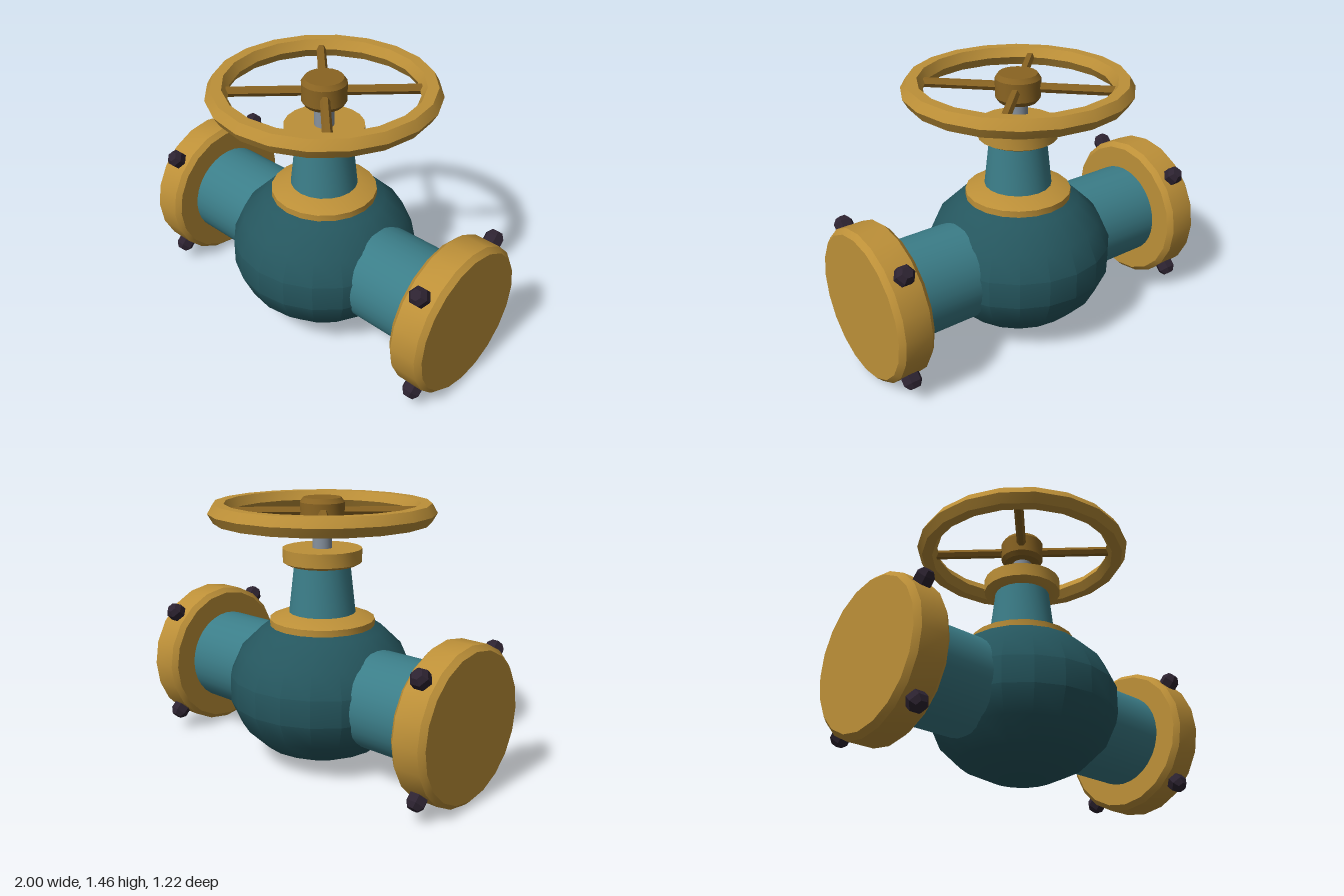
import * as THREE from 'three';
import { toCreasedNormals } from 'three/addons/utils/BufferGeometryUtils.js';

const material = (name, color) => {
  const m = new THREE.MeshStandardMaterial({ color });
  m.name = name;
  return m;
};

export function createModel() {
  const model = new THREE.Group();
  model.name = 'gateValve';

  const bodyTeal = material('darkTeal', 0x25565e);
  const pipeTeal = material('teal', 0x3b7d88);
  const brass = material('brass', 0xbd9038);
  const darkBrass = material('darkBrass', 0x8a6422);
  const steel = material('steel', 0x87929f);
  const iron = material('darkIron', 0x2d2331);

  const AXIS_Y = 0.425; // height of the pipe axis
  const SIDES = 20;

  const add = (name, geometry, mat, parent = model) => {
    const mesh = new THREE.Mesh(toCreasedNormals(geometry, 0.5), mat);
    mesh.name = name;
    parent.add(mesh);
    return mesh;
  };

  // Closed solid of revolution from [radius, y] pairs, bottom to top
  const turned = (profile, sides = SIDES) => {
    const pts = [[0, profile[0][1]], ...profile, [0, profile[profile.length - 1][1]]];
    return new THREE.LatheGeometry(pts.map(([r, y]) => new THREE.Vector2(r, y)), sides);
  };

  // Rounded body and the pipe running through it
  const bodyGeo = new THREE.SphereGeometry(0.518, SIDES, 9);
  bodyGeo.scale(1, 0.815, 1);
  add('body', bodyGeo, bodyTeal).position.y = AXIS_Y;

  const pipeGeo = new THREE.CylinderGeometry(0.265, 0.265, 1.64, 32);
  pipeGeo.rotateZ(Math.PI / 2);
  add('pipe', pipeGeo, pipeTeal).position.y = AXIS_Y;

  // End flanges, each with four radial bolts
  for (const side of [-1, 1]) {
    const end = new THREE.Group();
    end.name = side > 0 ? 'leftFlange' : 'rightFlange';
    end.position.set(side * 0.9, AXIS_Y, 0);
    model.add(end);

    const disc = turned([[0.388, -0.1], [0.415, -0.073], [0.415, 0.073], [0.388, 0.1]]);
    disc.rotateZ(Math.PI / 2);
    add('flangeDisc', disc, brass, end);

    for (let i = 0; i < 4; i++) {
      const bolt = turned([[0.052, 0.38], [0.052, 0.452], [0.03, 0.48]], 6);
      bolt.rotateY(Math.PI / 2); // hex corners point along the pipe
      bolt.rotateX(Math.PI / 4 + i * Math.PI / 2);
      add('bolt', bolt, iron, end);
    }
  }

  // Bonnet collar, neck, gland and stem
  add('bonnetCollar', turned([[0.288, 0.765], [0.288, 0.805], [0.2, 0.84]]), brass);
  add('neck', turned([[0.187, 0.8], [0.152, 1.11]]), pipeTeal);
  add('gland', turned([[0.185, 1.1], [0.215, 1.116], [0.215, 1.19]]), brass);
  add('stem', turned([[0.053, 1.17], [0.053, 1.35]]), steel);

  // Handwheel: six-sided rim, hub and four diagonal spokes
  const wheel = new THREE.Group();
  wheel.name = 'handwheel';
  wheel.position.y = 1.385;
  model.add(wheel);

  const rim = new THREE.TorusGeometry(0.55, 0.058, 6, SIDES);
  rim.rotateX(Math.PI / 2);
  add('rim', rim, brass, wheel);

  add('hub', turned([[0.102, -0.075], [0.12, -0.05], [0.12, 0.05], [0.102, 0.075]]), darkBrass, wheel);

  for (let i = 0; i < 4; i++) {
    const spoke = new THREE.CylinderGeometry(0.026, 0.026, 0.46, 6);
    spoke.rotateZ(Math.PI / 2);
    spoke.translate(0.3, 0, 0);
    spoke.rotateY(Math.PI / 4 + i * Math.PI / 2);
    add('spoke', spoke, darkBrass, wheel);
  }

  return model;
}
